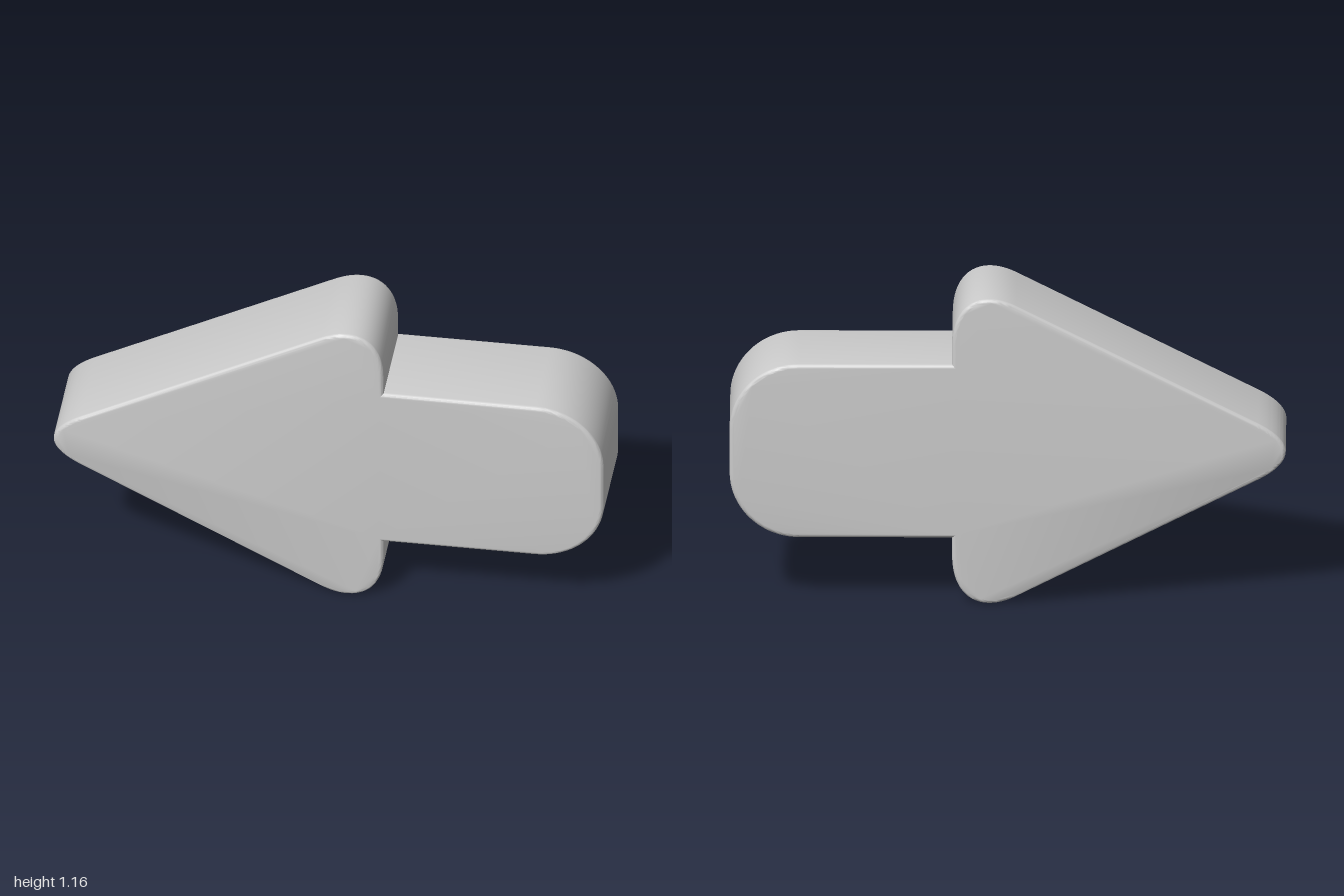
import * as THREE from 'three';
import { toCreasedNormals } from 'three/addons/utils/BufferGeometryUtils.js';

const MID = 0.582;    // height of the arrow's axis
const DEPTH = 0.38;
const BEVEL = 0.014;

// Upper half of the outline, from the tip to the middle of the tail end
function upperHalf() {
  const path = new THREE.Shape();
  path.moveTo(-1, 0);
  path.bezierCurveTo(-1, 0.04, -0.96, 0.077, -0.9, 0.108);      // rounded tip
  path.lineTo(-0.03, 0.555);                                    // sloping head edge
  path.bezierCurveTo(0.09, 0.617, 0.2, 0.57, 0.2, 0.4);         // rounded barb
  path.lineTo(0.2, 0.331);                                      // sharp inner corner
  path.lineTo(0.75, 0.331);                                     // shaft
  path.bezierCurveTo(0.89, 0.331, 1, 0.22, 1, 0.085);           // rounded tail
  return path.getPoints(20);
}

export function createModel() {
  const group = new THREE.Group();
  group.name = 'arrow';

  // Mirror the upper half below the axis, leaving out the shared tip
  const upper = upperHalf();
  const lower = upper.slice(1).reverse().map(p => new THREE.Vector2(p.x, -p.y));
  const outline = new THREE.Shape([...upper, ...lower]);

  // Thick slab with softly rounded rims on both faces
  const slab = new THREE.ExtrudeGeometry(outline, {
    depth: DEPTH - 2 * BEVEL,
    bevelEnabled: true,
    bevelSize: BEVEL,
    bevelThickness: BEVEL,
    bevelOffset: -BEVEL,
    bevelSegments: 4,
  });
  slab.translate(0, MID, -DEPTH / 2 + BEVEL);

  const body = new THREE.Mesh(
    toCreasedNormals(slab, 0.6),
    new THREE.MeshStandardMaterial({ color: 0xcccccc })
  );
  body.name = 'arrowBody';
  group.add(body);
  return group;
}
